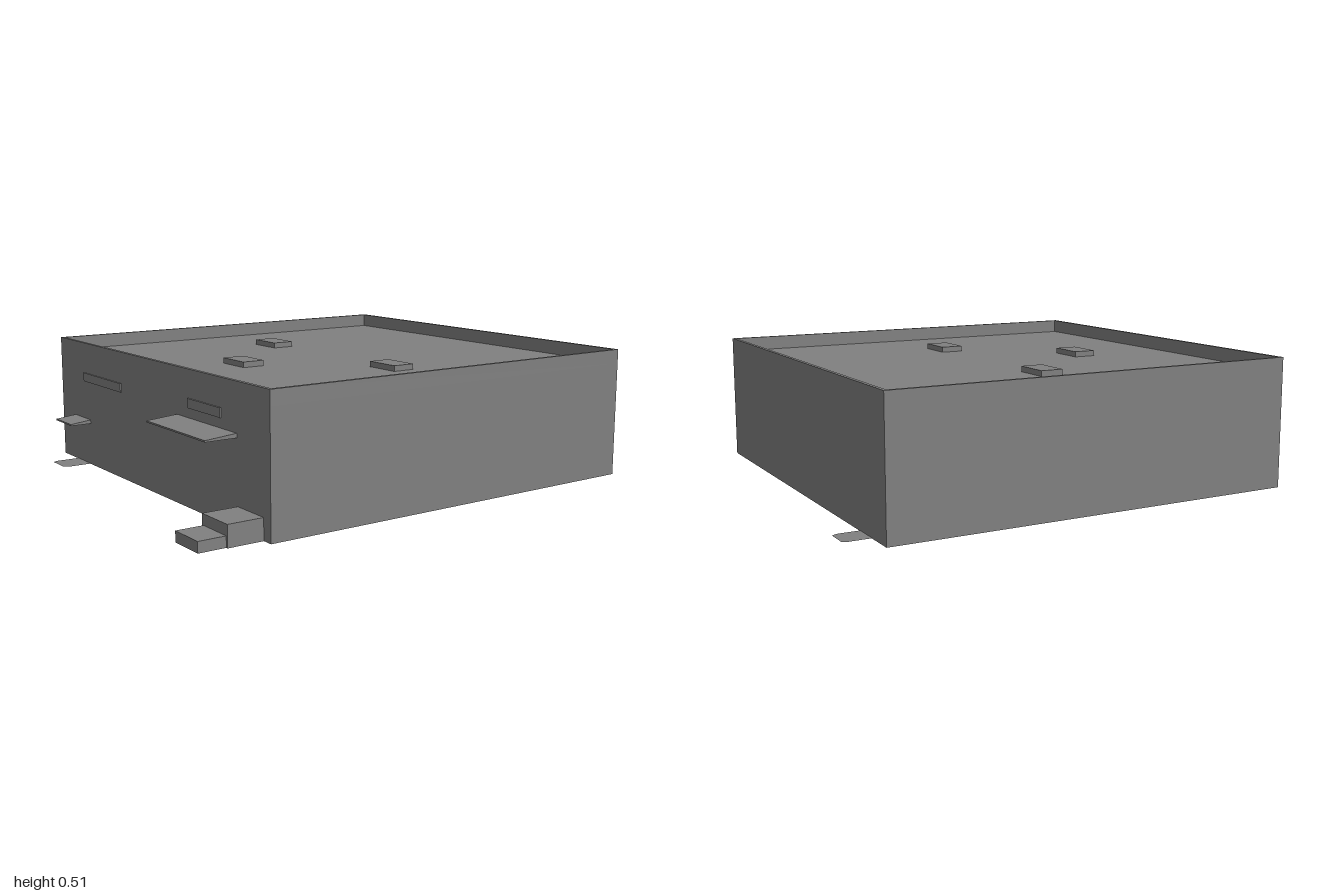
import * as THREE from 'three';

const grey = new THREE.MeshStandardMaterial({ color: 0x808080, side: THREE.DoubleSide });
grey.name = 'plain grey';

// Main building extents
const X = 0.825, Z0 = -0.895, Z1 = 0.757, DECK = 0.455, TOP = 0.51, RIM = 0.014;
const ZC = (Z0 + Z1) / 2, DEPTH = Z1 - Z0;

export function createModel() {
  const model = new THREE.Group();
  model.name = 'building';

  const add = (name, geometry) => {
    const mesh = new THREE.Mesh(geometry, grey);
    mesh.name = name;
    model.add(mesh);
    return mesh;
  };

  // Box from min and max corners; omit lists faces left out (0 +x, 1 -x, 2 +y, 3 -y, 4 +z, 5 -z)
  const box = (name, x0, x1, y0, y1, z0, z1, omit = []) => {
    const g = new THREE.BoxGeometry(x1 - x0, y1 - y0, z1 - z0);
    const index = Array.from(g.index.array);
    g.setIndex(index.filter((_, i) => !omit.includes(Math.floor(i / 6))));
    g.clearGroups();
    g.translate((x0 + x1) / 2, (y0 + y1) / 2, (z0 + z1) / 2);
    return add(name, g);
  };

  // Hollow walls with the roof deck, open underneath
  box('wallsAndRoofDeck', -X, X, 0, DECK, Z0, Z1, [3]);

  // Parapet ring around the roof
  const rectangle = (Type, w, d) => new Type([
    new THREE.Vector2(-w, -d), new THREE.Vector2(w, -d),
    new THREE.Vector2(w, d), new THREE.Vector2(-w, d),
  ]);
  const ring = rectangle(THREE.Shape, X, DEPTH / 2);
  ring.holes.push(rectangle(THREE.Path, X - RIM, DEPTH / 2 - RIM));
  const parapet = new THREE.ExtrudeGeometry(ring, { depth: TOP - DECK, bevelEnabled: false });
  parapet.rotateX(-Math.PI / 2).translate(0, DECK, ZC);
  add('parapet', parapet);

  // Rooftop units
  for (const [x, z] of [[-0.418, -0.073], [0.41, -0.073], [-0.003, 0.343]]) {
    box('roofUnit', x - 0.075, x + 0.075, DECK, DECK + 0.022, z - 0.046, z + 0.046, [3]);
  }

  // Wedge awnings: flat underside, top sloping down towards the tip
  const awning = (name, x0, x1, y, z1) => {
    const profile = new THREE.Shape([
      new THREE.Vector2(Z1 - 0.012, y), new THREE.Vector2(z1, y),
      new THREE.Vector2(z1, y + 0.006), new THREE.Vector2(Z1 - 0.012, y + 0.017),
    ]);
    const g = new THREE.ExtrudeGeometry(profile, { depth: x1 - x0, bevelEnabled: false });
    g.rotateY(-Math.PI / 2).translate(x1, 0, 0);
    add(name, g);
  };
  awning('largeAwning', 0.205, 0.62, 0.317, 0.88);
  awning('smallAwning', -0.7, -0.548, 0.175, 0.845);

  // Thin wall panels above the awnings
  box('wallPanel', -0.59, -0.245, 0.35, 0.385, Z1, Z1 + 0.006, [5]);
  box('wallPanel', 0.295, 0.52, 0.37, 0.405, Z1, Z1 + 0.006, [5]);

  // Entrance steps, open underneath
  box('upperStep', 0.62, 0.782, 0, 0.08, Z1, 0.895, [3, 5]);
  box('lowerStep', 0.627, 0.774, 0, 0.04, 0.895, 1, [3, 5]);

  // Flat doorstep slabs with clipped outer corners
  const slab = (name, x, half, zWall, zEnd) => {
    const s = Math.sign(zEnd - zWall), c = 0.012;
    const shape = new THREE.Shape([
      new THREE.Vector2(x - half, -zWall), new THREE.Vector2(x + half, -zWall),
      new THREE.Vector2(x + half, -(zEnd - s * 0.02)), new THREE.Vector2(x + half - c, -zEnd),
      new THREE.Vector2(x - half + c, -zEnd), new THREE.Vector2(x - half, -(zEnd - s * 0.02)),
    ]);
    const g = new THREE.ShapeGeometry(shape);
    g.rotateX(-Math.PI / 2).translate(0, 0.002, 0);
    add(name, g);
  };
  slab('frontDoorSlab', -0.623, 0.064, Z1, 0.875);
  slab('backDoorSlab', -0.656, 0.053, Z0, -1);

  return model;
}
